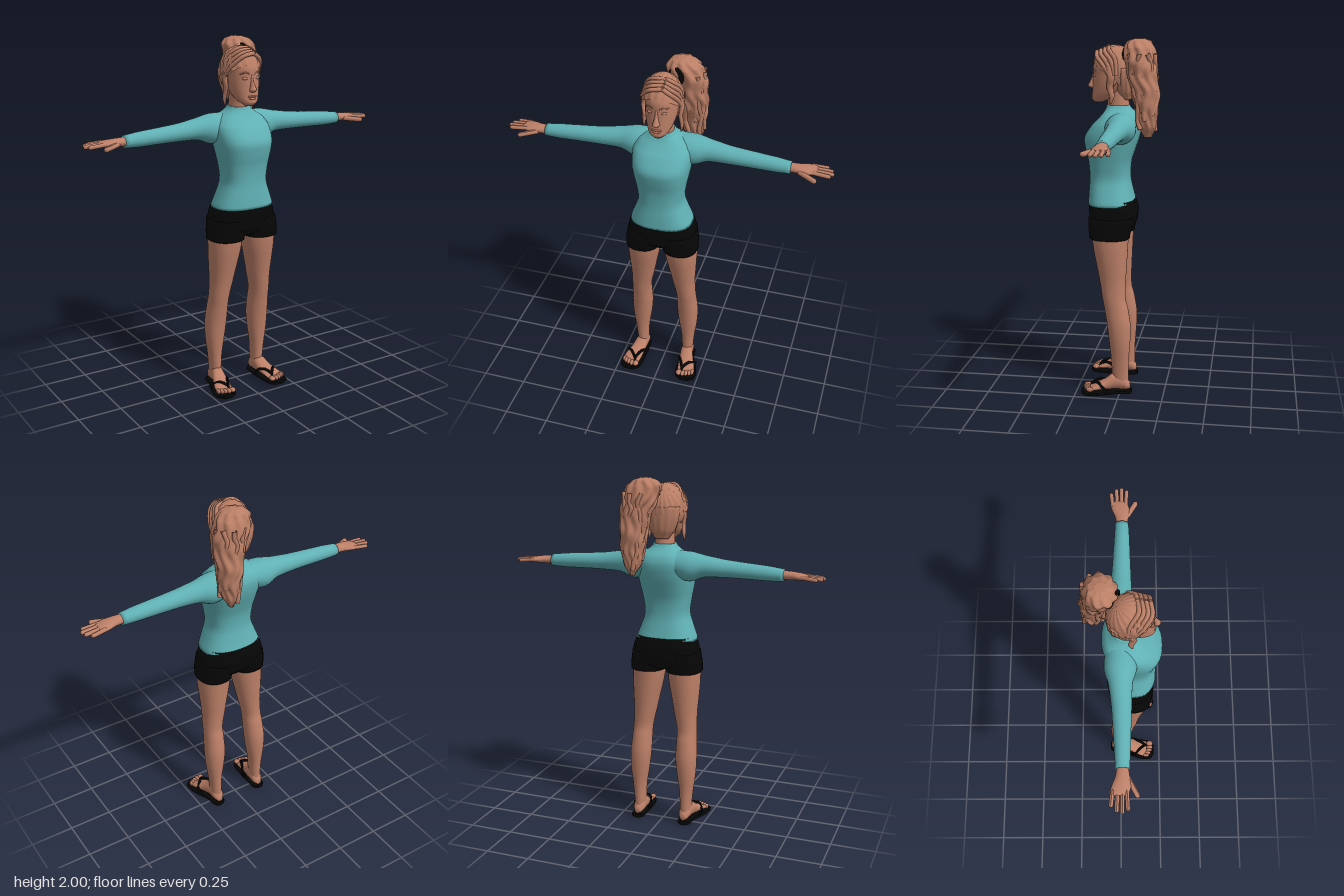
import * as THREE from 'three';

const mat = (name, color) => Object.assign(new THREE.MeshStandardMaterial({ color }), { name });

// Smooth loft along an axis. Ring: [position, u0, u1, v0, v1];
// (u, v) is (y, z) for axis x, (z, x) for axis y, (x, y) for axis z.
function loft(axis, rings, { power = 2, seg = 28, sub = 4, bump = null } = {}) {
  const rows = [], pos = [], idx = [];
  const ring = i => rings[Math.min(Math.max(i, 0), rings.length - 1)];
  for (let i = 0; i < rings.length - 1; i++) {
    for (let s = 0; s < sub; s++) {
      const t = s / sub;
      rows.push(ring(i).map((b, k) => {
        const a = ring(i - 1)[k], c = ring(i + 1)[k], d = ring(i + 2)[k];
        if (k === 0) return b + (c - b) * t;
        return b + 0.5 * t * (c - a + t * (2 * a - 5 * b + 4 * c - d + t * (3 * (b - c) + d - a)));
      }));
    }
  }
  rows.push(ring(rings.length - 1));
  const put = (w, u, v) => {
    const p = [0, 0, 0];
    p[axis] = w; p[(axis + 1) % 3] = u; p[(axis + 2) % 3] = v;
    pos.push(...p);
  };
  const curve = x => Math.sign(x) * Math.abs(x) ** (2 / power);
  rows.forEach(([w, u0, u1, v0, v1]) => {
    for (let i = 0; i < seg; i++) {
      const a = i / seg * Math.PI * 2, f = bump ? bump(a, w) : 1;
      put(w, (u0 + u1) / 2 + (u1 - u0) / 2 * f * curve(Math.cos(a)),
        (v0 + v1) / 2 + (v1 - v0) / 2 * f * curve(Math.sin(a)));
    }
  });
  for (let j = 0; j < rows.length - 1; j++) for (let i = 0; i < seg; i++) {
    const a = j * seg + i, b = j * seg + (i + 1) % seg;
    idx.push(a, b, b + seg, a, b + seg, a + seg);
  }
  // end caps
  [0, rows.length - 1].forEach((j, end) => {
    const [w, u0, u1, v0, v1] = rows[j], c = pos.length / 3;
    put(w, (u0 + u1) / 2, (v0 + v1) / 2);
    for (let i = 0; i < seg; i++) {
      const a = j * seg + i, b = j * seg + (i + 1) % seg;
      idx.push(...(end ? [a, b, c] : [b, a, c]));
    }
  });
  const g = new THREE.BufferGeometry();
  g.setAttribute('position', new THREE.Float32BufferAttribute(pos, 3));
  g.setIndex(idx);
  g.computeVertexNormals();
  return g;
}

function mirrored(geo) {
  const g = geo.clone().scale(-1, 1, 1), ix = g.index.array;
  for (let i = 0; i < ix.length; i += 3) [ix[i], ix[i + 1]] = [ix[i + 1], ix[i]];
  g.computeVertexNormals();
  return g;
}

const ball = (x, y, z, rx, ry, rz) =>
  new THREE.SphereGeometry(1, 16, 12).scale(rx, ry, rz).translate(x, y, z);

const tube = (points, r) => new THREE.TubeGeometry(
  new THREE.CatmullRomCurve3(points.map(p => new THREE.Vector3(...p))), 16, r, 8);

// rounded rod between two points
function rod(a, b, r) {
  const p = new THREE.Vector3(...a), q = new THREE.Vector3(...b), d = q.clone().sub(p);
  const turn = new THREE.Quaternion().setFromUnitVectors(new THREE.Vector3(0, 1, 0), d.clone().normalize());
  const mid = p.add(q).multiplyScalar(0.5);
  return new THREE.CapsuleGeometry(r, d.length(), 4, 10).applyQuaternion(turn).translate(mid.x, mid.y, mid.z);
}

export function createModel() {
  const model = new THREE.Group();
  const skin = mat('skin', 0xbd8068), hair = mat('hair', 0xbb7f66);
  const shirt = mat('shirt teal', 0x60b0b4), black = mat('black', 0x060606);
  hair.side = THREE.DoubleSide;
  const add = (name, geo, m) => {
    const mesh = new THREE.Mesh(geo, m);
    mesh.name = name;
    model.add(mesh);
  };
  const pair = (name, geo, m) => {
    add(name + 'Left', geo, m);
    add(name + 'Right', mirrored(geo), m);
  };

  // shirt
  add('shirtBody', loft(1, [
    [1.085, -.07, .195, -.175, .175], [1.15, -.055, .192, -.152, .152], [1.23, -.04, .187, -.126, .126],
    [1.32, -.045, .193, -.135, .135], [1.40, -.07, .211, -.15, .15], [1.46, -.09, .214, -.158, .158],
    [1.53, -.1, .17, -.16, .16], [1.575, -.085, .125, -.135, .135], [1.61, -.05, .1, -.08, .08],
    [1.635, -.035, .092, -.06, .06]], { power: 2.5, seg: 40 }), shirt);
  pair('sleeve', loft(0, [
    [.06, 1.46, 1.6, -.08, .08], [.16, 1.435, 1.6, -.088, .082], [.24, 1.463, 1.584, -.066, .06],
    [.35, 1.468, 1.566, -.05, .055], [.5, 1.467, 1.553, -.04, .05], [.6, 1.465, 1.545, -.034, .047],
    [.68, 1.468, 1.535, -.03, .043]]), shirt);

  // hands
  pair('palm', loft(0, [
    [.66, 1.478, 1.527, -.022, .035], [.72, 1.48, 1.525, -.03, .043], [.77, 1.483, 1.52, -.049, .048],
    [.8, 1.486, 1.515, -.053, .04], [.815, 1.492, 1.51, -.048, .034]]), skin);
  [[-.042, .86, -.05], [-.018, .885, -.022], [.006, .892, .006], [.028, .878, .033]].forEach(([z, tip, zt], i) =>
    pair('finger' + (i + 1), rod([.79, 1.502, z], [tip, 1.496, zt], .0115), skin));
  pair('thumb', rod([.73, 1.496, .036], [.81, 1.487, .08], .014), skin);

  // shorts
  add('shortsHips', loft(1, [
    [.925, -.03, .14, -.12, .12], [.96, -.065, .175, -.18, .18], [1.0, -.078, .185, -.193, .193],
    [1.06, -.08, .19, -.183, .183], [1.11, -.066, .186, -.166, .166]], { power: 2.5, seg: 40 }), black);
  pair('shortsLeg', loft(1, [
    [.905, -.05, .174, .008, .207], [.95, -.058, .18, .002, .205], [1.02, -.07, .182, 0, .194]],
    { power: 2.3 }), black);

  // legs and feet
  pair('leg', loft(1, [
    [.04, -.048, .04, .112, .175], [.1, -.048, .045, .11, .175], [.2, -.05, .05, .105, .184],
    [.3, -.058, .06, .09, .197], [.4, -.06, .072, .08, .2], [.5, -.045, .088, .08, .193],
    [.56, -.03, .1, .078, .19], [.65, -.03, .115, .06, .188], [.75, -.035, .135, .04, .194],
    [.85, -.04, .155, .02, .199], [.95, -.045, .165, .012, .198]], { power: 2.15 }), skin);
  pair('foot', loft(2, [
    [-.058, .125, .16, .025, .06], [-.035, .11, .174, .02, .095], [.03, .108, .182, .02, .12],
    [.08, .112, .2, .02, .085], [.13, .117, .22, .02, .06], [.168, .122, .225, .02, .042]]), skin);
  [[.137, .187, .018], [.162, .188, .012], [.182, .182, .011], [.2, .174, .011], [.216, .164, .01]].forEach(
    ([x, z, r], i) => pair('toe' + (i + 1), ball(x, .034, z, r, .014, .021), skin));

  // sandals
  pair('sandalSole', loft(2, [
    [-.066, .125, .165, 0, .022], [-.05, .108, .18, 0, .022], [.02, .105, .19, 0, .022],
    [.09, .105, .22, 0, .022], [.15, .107, .236, 0, .022], [.195, .118, .232, 0, .022],
    [.214, .145, .205, 0, .022]], { power: 5 }), black);
  const toePost = [.15, .052, .16];
  pair('sandalInnerStrap', tube([toePost, [.13, .068, .12], [.112, .055, .08], [.106, .015, .05]], .008), black);
  pair('sandalOuterStrap', tube([toePost, [.18, .067, .125], [.21, .045, .09], [.208, .015, .06]], .008), black);
  pair('sandalPost', rod([.15, .02, .168], toePost, .007), black);

  // neck, head and face
  add('neck', loft(1, [[1.58, -.04, .085, -.06, .06], [1.66, -.03, .09, -.053, .053], [1.74, -.02, .1, -.055, .055]]), skin);
  add('head', loft(1, [
    [1.65, .11, .162, -.025, .025], [1.668, .07, .176, -.048, .048], [1.70, .02, .172, -.067, .067],
    [1.75, -.03, .169, -.081, .081], [1.80, -.05, .167, -.086, .086], [1.86, -.055, .164, -.085, .085],
    [1.92, -.04, .13, -.065, .065]], { power: 2.15 }), skin);
  add('nose', loft(1, [
    [1.724, .15, .18, -.012, .012], [1.735, .15, .198, -.02, .02], [1.75, .15, .193, -.015, .015],
    [1.78, .145, .179, -.009, .009], [1.815, .145, .168, -.008, .008]], { seg: 12 }), skin);
  add('upperLip', ball(0, 1.701, .167, .028, .006, .011), skin);
  add('lowerLip', ball(0, 1.69, .168, .023, .007, .01), skin);
  pair('eyelid', ball(.035, 1.797, .152, .018, .009, .012), skin);
  pair('brow', tube([[.014, 1.82, .163], [.036, 1.828, .157], [.06, 1.818, .138]], .0045), hair);
  pair('ear', ball(.088, 1.775, .045, .012, .032, .02), skin);

  // swept-back hair cap, ridged into strands
  const cap = new THREE.SphereGeometry(1, 72, 20, 0, Math.PI * 2, 0, 1.83);
  const p = cap.attributes.position;
  for (let i = 0; i < p.count; i++) {
    const x = p.getX(i), y = p.getY(i), z = p.getZ(i), a = Math.atan2(z, x);
    const f = 1 + .025 * Math.hypot(x, z) * Math.sin(a * 18 + 2 * y);
    p.setXYZ(i, x * f, y * f, z * f);
  }
  cap.rotateX(-.6).scale(.108, .138, .124).translate(-.004, 1.822, .047).computeVertexNormals();
  add('hairCap', cap, hair);
  add('napeHair', loft(1, [[1.665, -.045, 0, -.04, .04], [1.71, -.065, .04, -.072, .072],
    [1.78, -.075, .05, -.096, .096], [1.84, -.075, .05, -.1, .1]],
    { seg: 56, bump: a => 1 + .03 * Math.sin(a * 14) }), hair);
  // fringe strands from the parting and loose locks by the cheeks
  for (let i = 0; i < 4; i++) {
    const d = i * .022;
    add('fringeRight', tube([[.025, 1.925 + d / 3, .142 - d], [-.04, 1.915 + d / 2, .15 - d],
      [-.088, 1.865 + d / 2, .11 - d], [-.105, 1.805, .065 - d / 2]], .012), hair);
    add('fringeLeft', tube([[.025, 1.925 + d / 3, .142 - d], [.06, 1.9 + d / 2, .137 - d],
      [.09, 1.855 + d / 2, .1 - d], [.1, 1.8, .06 - d / 2]], .012), hair);
  }
  pair('cheekLock', loft(1, [[1.65, .05, .062, .098, .106], [1.69, .035, .065, .092, .112],
    [1.74, .042, .08, .088, .108], [1.79, .035, .075, .09, .116], [1.85, .04, .09, .078, .106]], { seg: 12 }), hair);

  // side ponytail with wavy strands
  add('hairTie', new THREE.TorusGeometry(.038, .014, 10, 24).rotateY(-.5).translate(.045, 1.915, -.035), black);
  add('ponytail', loft(1, [
    [1.475, -.17, -.13, .11, .135], [1.53, -.192, -.1, .075, .165], [1.6, -.203, -.088, .065, .182],
    [1.7, -.21, -.065, .05, .192], [1.8, -.2, -.042, .03, .195], [1.88, -.192, -.024, 0, .19],
    [1.95, -.178, -.015, -.018, .165], [1.985, -.158, -.035, .005, .13], [1.998, -.125, -.07, .04, .09]],
    { seg: 80, sub: 8, bump: (a, y) => 1 + .06 * Math.sin(a * 9 + 2 * Math.sin(y * 32)) + .03 * Math.sin(y * 60 + a * 2) }), hair);
  for (let i = 0; i < 9; i++) {
    const a = i / 9 * Math.PI * 2, pts = [];
    for (let k = 0; k <= 8; k++) {
      const y = 1.92 - k * (.044 + .008 * Math.sin(i * 2.3)), r = .078 - .0035 * k;
      const w = a + .16 * Math.sin(k * 1.9 + i);
      pts.push([.1 + .003 * k + r * Math.cos(w), y, -.11 - .004 * k + r * Math.sin(w)]);
    }
    add('ponytailStrand', tube(pts, .013), hair);
  }
  return model;
}
